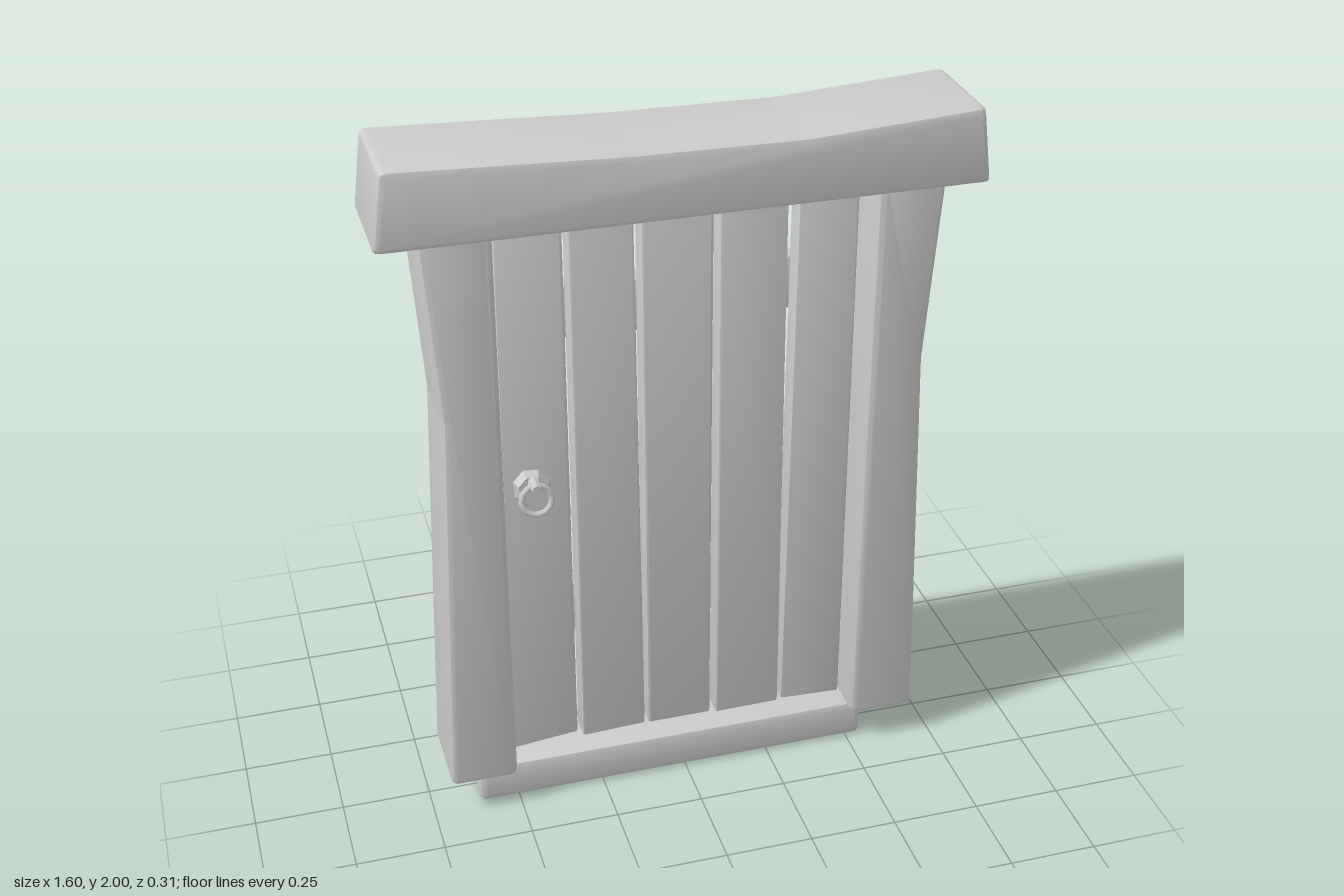
import * as THREE from 'three';
import { toCreasedNormals } from 'three/addons/utils/BufferGeometryUtils.js';

const material = new THREE.MeshStandardMaterial({ color: 0xcccccc });

function mesh(name, geometry) {
  const m = new THREE.Mesh(geometry, material);
  m.name = name;
  return m;
}

// Outline with every corner softened by r
function roundedShape(points, r) {
  const p = points.map(([x, y]) => new THREE.Vector2(x, y));
  const shape = new THREE.Shape();
  p.forEach((c, i) => {
    const before = p[(i + p.length - 1) % p.length];
    const after = p[(i + 1) % p.length];
    const a = before.clone().sub(c).setLength(r).add(c);
    const b = after.clone().sub(c).setLength(r).add(c);
    if (i === 0) shape.moveTo(a.x, a.y);
    else shape.lineTo(a.x, a.y);
    shape.quadraticCurveTo(c.x, c.y, b.x, b.y);
  });
  shape.closePath();
  return shape;
}

// Bevelled timber: counter-clockwise outline, filling z0..z1
function timber(name, points, z0, z1, bevel) {
  const geometry = new THREE.ExtrudeGeometry(roundedShape(points, bevel), {
    depth: z1 - z0 - 2 * bevel,
    bevelEnabled: true,
    bevelThickness: bevel,
    bevelSize: bevel,
    bevelOffset: -bevel,
    bevelSegments: 2,
    curveSegments: 3,
  });
  geometry.translate(0, 0, z0 + bevel);
  return mesh(name, toCreasedNormals(geometry, 0.6));
}

// Ring handle: faceted plate, stub and hanging ring, facing +z
function ringHandle(name) {
  const group = new THREE.Group();
  group.name = name;
  const plate = mesh('handlePlate', toCreasedNormals(new THREE.CylinderGeometry(0.042, 0.054, 0.022, 8), 0.5));
  plate.rotation.set(Math.PI / 2, Math.PI / 8, 0);
  plate.scale.z = 1.18;
  plate.position.z = 0.01;
  const stub = mesh('handleStub', toCreasedNormals(new THREE.CylinderGeometry(0.014, 0.018, 0.05, 8), 0.5));
  stub.rotation.x = Math.PI / 2;
  stub.position.set(0, 0.03, 0.04);
  const ring = mesh('handleRing', new THREE.TorusGeometry(0.042, 0.009, 6, 12));
  ring.position.set(0, -0.008, 0.05);
  ring.rotation.x = -0.2;
  group.add(plate, stub, ring);
  return group;
}

export function createModel() {
  const model = new THREE.Group();
  model.name = 'door';

  // Sagging lintel
  model.add(timber('lintel', [
    [-0.805, 1.785], [0.8, 1.785], [0.772, 1.997], [0.3, 1.968], [-0.15, 1.974], [-0.777, 2.002],
  ], -0.155, 0.155, 0.02));

  // Waisted posts
  model.add(timber('rightPost', [
    [-0.7, 0.103], [-0.508, 0.103], [-0.505, 1.82], [-0.695, 1.82], [-0.658, 1.28],
  ], -0.125, 0.125, 0.02));
  model.add(timber('leftPost', [
    [0.5, 0.103], [0.695, 0.103], [0.655, 1.28], [0.692, 1.82], [0.503, 1.82],
  ], -0.125, 0.125, 0.02));

  // Sill
  model.add(timber('sill', [
    [-0.615, 0], [0.545, 0], [0.545, 0.12], [-0.615, 0.12],
  ], -0.085, 0.09, 0.02));

  // Uneven planks: bottom-left, bottom-right, top-right, top-left
  const planks = [
    [[-0.5, 0.13], [-0.31, 0.15], [-0.312, 1.768], [-0.49, 1.762]],
    [[-0.295, 0.13], [-0.108, 0.138], [-0.125, 1.75], [-0.297, 1.766]],
    [[-0.098, 0.136], [0.09, 0.136], [0.088, 1.742], [-0.106, 1.764]],
    [[0.107, 0.13], [0.3, 0.133], [0.29, 1.757], [0.105, 1.755]],
    [[0.309, 0.138], [0.491, 0.13], [0.485, 1.767], [0.319, 1.752]],
  ];
  for (const outline of planks) model.add(timber('plank', outline, -0.035, 0.035, 0.008));

  // Bowed battens across the back
  for (const y of [0.46, 1.395]) {
    model.add(timber('batten', [
      [-0.47, y + 0.015], [-0.16, y], [0.16, y], [0.47, y + 0.015],
      [0.47, y + 0.175], [0.16, y + 0.155], [-0.16, y + 0.155], [-0.47, y + 0.175],
    ], -0.088, -0.03, 0.012));
  }

  // Ring handles on both faces
  const front = ringHandle('frontHandle');
  front.position.set(-0.415, 1.0, 0.035);
  const back = ringHandle('backHandle');
  back.position.set(-0.415, 1.0, -0.035);
  back.rotation.y = Math.PI;
  model.add(front, back);

  return model;
}
